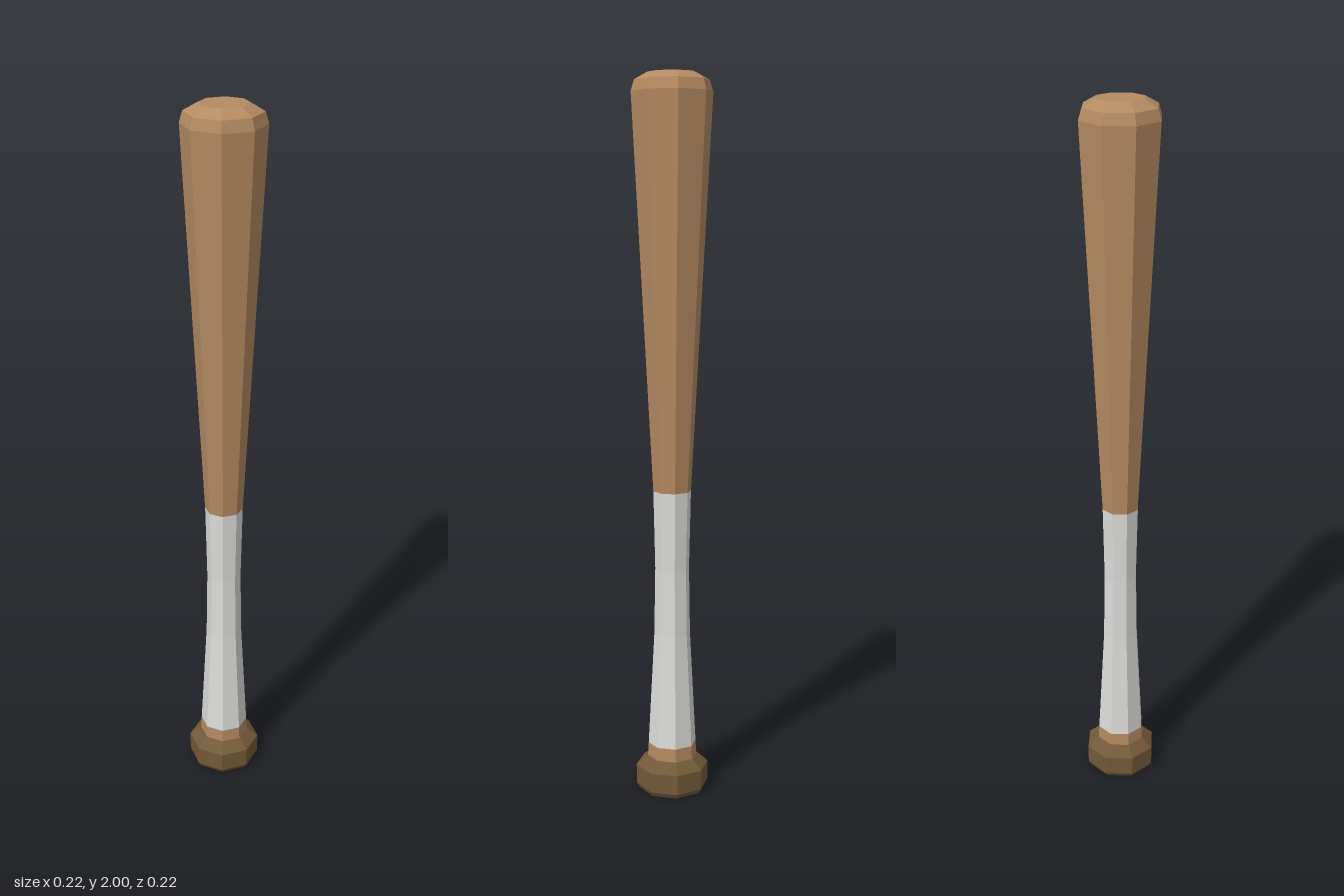
import * as THREE from 'three';

const SIDES = 8;

// Faceted octagonal turning from a bottom-to-top list of [radius, height]
function turned(name, profile, material) {
  const points = profile.map(([r, y]) => new THREE.Vector2(r, y));
  const geometry = new THREE.LatheGeometry(points, SIDES).toNonIndexed();
  geometry.computeVertexNormals();
  const mesh = new THREE.Mesh(geometry, material);
  mesh.name = name;
  return mesh;
}

function paint(name, color) {
  const material = new THREE.MeshStandardMaterial({ color });
  material.name = name;
  return material;
}

export function createModel() {
  const wood = paint('wood', 0xb48b62);
  const tape = paint('grip tape', 0xdcdcda);
  const darkWood = paint('dark wood', 0x735939);

  const bat = new THREE.Group();
  bat.name = 'bat';
  bat.add(
    // Closed end knob with chamfered rims
    turned('knob', [[0, 0], [0.094, 0], [0.103, 0.014], [0.103, 0.07], [0.072, 0.097], [0, 0.097]], darkWood),
    // Bare wood between knob and grip
    turned('collar', [[0.07, 0.095], [0.068, 0.135]], wood),
    // Wrapped handle, slimmest in the middle
    turned('grip', [[0.068, 0.135], [0.051, 0.46], [0.048, 0.65], [0.053, 0.87]], tape),
    // Tapering barrel with a bevelled, flat tip
    turned('barrel', [[0.053, 0.87], [0.111, 1.95], [0.102, 1.98], [0.066, 2], [0, 2]], wood),
  );
  return bat;
}
